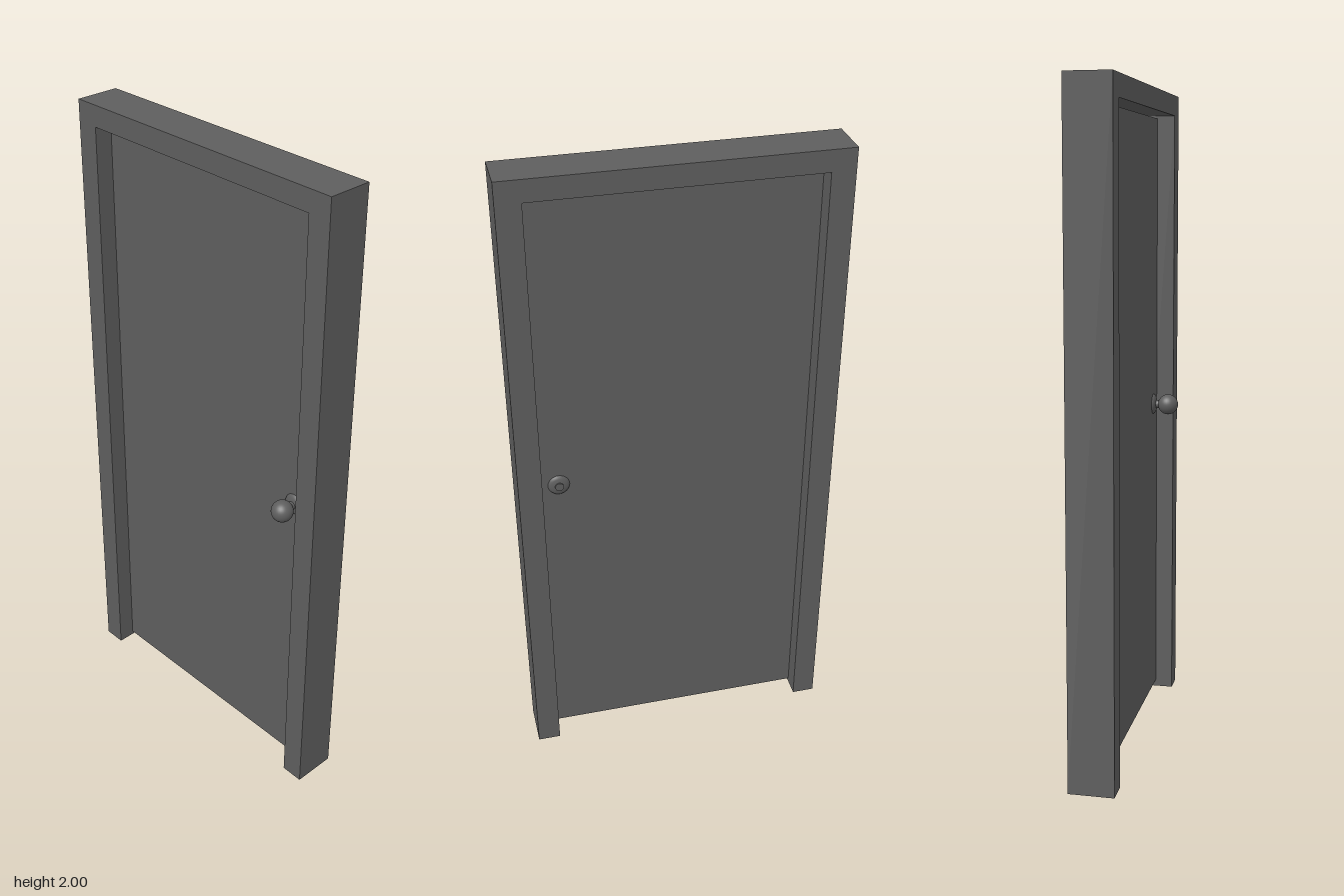
import * as THREE from 'three';

const grey = new THREE.MeshStandardMaterial({ color: 0x5e5e5e });
grey.name = 'dark grey';

// Box given by its lower and upper limits on each axis
function box(name, [x0, x1], [y0, y1], [z0, z1]) {
  const mesh = new THREE.Mesh(new THREE.BoxGeometry(x1 - x0, y1 - y0, z1 - z0), grey);
  mesh.name = name;
  mesh.position.set((x0 + x1) / 2, (y0 + y1) / 2, (z0 + z1) / 2);
  return mesh;
}

// Round part turned about the x axis; profile points are [radius, distance out]
function turned(name, profile, direction) {
  const points = profile.map(([r, d]) => new THREE.Vector2(r, d));
  const mesh = new THREE.Mesh(new THREE.LatheGeometry(points, 32), grey);
  mesh.name = name;
  mesh.rotation.z = -direction * Math.PI / 2;
  return mesh;
}

export function createModel() {
  const model = new THREE.Group();
  model.name = 'door';

  // Frame: one continuous extruded arch, with one jamb slightly shorter
  const outer = 0.484, inner = 0.413, head = 1.936, x0 = -0.056, x1 = 0.08;
  const outline = new THREE.Shape([
    [-outer, 0], [-inner, 0], [-inner, head], [inner, head],
    [inner, 0.01], [outer, 0.01], [outer, 2], [-outer, 2],
  ].map(([a, y]) => new THREE.Vector2(a, y)));
  const frame = new THREE.Mesh(
    new THREE.ExtrudeGeometry(outline, { depth: x1 - x0, bevelEnabled: false }), grey);
  frame.name = 'frame';
  frame.rotation.y = Math.PI / 2;
  frame.position.x = x0;
  model.add(frame);

  // Thin door leaf, leaving a small gap above and below
  model.add(box('leaf', [0, 0.022], [0.022, 1.928], [-inner, inner]));

  // Knob on one side of the leaf
  const handle = new THREE.Group();
  handle.name = 'handle';
  handle.position.set(0, 1.003, 0.356);
  const rose = [[0.033, 0], [0.031, 0.004], [0.024, 0.008], [0.013, 0.01]];
  handle.add(turned('knobRose', rose, -1));
  handle.add(turned('knobStem', [[0.013, 0], [0.013, 0.03]], -1));
  const knob = new THREE.Mesh(new THREE.SphereGeometry(0.033, 32, 20), grey);
  knob.name = 'knob';
  knob.position.x = -0.049;
  handle.add(knob);

  // Rose and short spindle end on the other side
  const backRose = turned('backRose', rose, 1);
  backRose.position.x = 0.022;
  handle.add(backRose);
  const spindle = new THREE.Mesh(new THREE.CylinderGeometry(0.013, 0.013, 0.014, 24), grey);
  spindle.name = 'spindleEnd';
  spindle.rotation.z = -Math.PI / 2;
  spindle.position.x = 0.029;
  handle.add(spindle);
  model.add(handle);

  return model;
}
